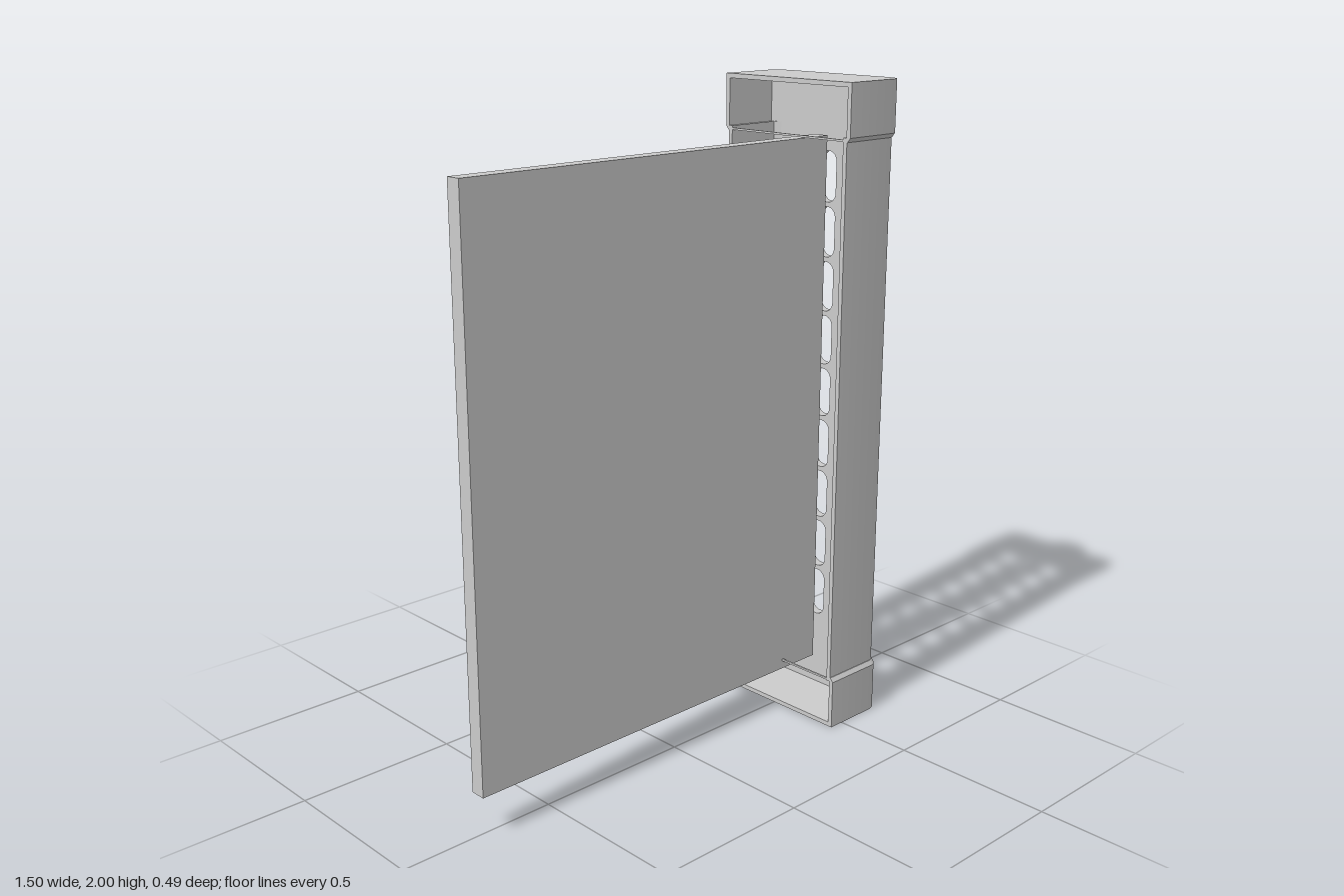
import * as THREE from 'three';
import { toCreasedNormals } from 'three/addons/utils/BufferGeometryUtils.js';

const material = new THREE.MeshStandardMaterial({ color: 0xcccccc });
const BACK = 0.45, FACE = 0.675, PLATE = 0.03, WALL = 0.014;

function add(parent, name, geometry) {
  const mesh = new THREE.Mesh(geometry, material);
  mesh.name = name;
  parent.add(mesh);
  return mesh;
}

function box(parent, name, x0, x1, y0, y1, z0, z1) {
  const mesh = add(parent, name, new THREE.BoxGeometry(x1 - x0, y1 - y0, z1 - z0));
  mesh.position.set((x0 + x1) / 2, (y0 + y1) / 2, (z0 + z1) / 2);
}

// Outer rounded corner of the housing, from the open back to the face
const corner = (zo) => [[BACK, zo], [0.64, zo], [0.655, zo - 0.005], [0.666, zo - 0.015], [FACE, 0.2]];

// Extrudes an (x, z) outline upwards from y0 to y1
function extrudeUp(points, y0, y1) {
  const shape = new THREE.Shape(points.map(([x, z]) => new THREE.Vector2(x, -z)));
  const g = new THREE.ExtrudeGeometry(shape, { depth: y1 - y0, bevelEnabled: false });
  g.rotateX(-Math.PI / 2).translate(0, y0, 0);
  return g;
}

// Mirrored side walls; 'taper' pulls the ends at height taperY in to the body
function sideWalls(parent, name, zo, y0, y1, taperY) {
  for (const s of [1, -1]) {
    const outline = [...corner(zo), [FACE - PLATE, 0.2], [0.635, zo - WALL], [BACK, zo - WALL]];
    const g = extrudeUp(outline.map(([x, z]) => [x, z * s]), y0, y1);
    if (taperY !== undefined) {
      const p = g.attributes.position;
      for (let i = 0; i < p.count; i++) {
        if (Math.abs(p.getY(i) - taperY) < 1e-4 && Math.abs(p.getZ(i)) > 0.201) {
          p.setZ(i, p.getZ(i) - Math.sign(p.getZ(i)) * 0.01);
        }
      }
    }
    add(parent, name, toCreasedNormals(g, 0.6));
  }
}

// Rounded slot outline
function slot(cx, cy, w, h) {
  const r = w / 2 - 0.005, path = new THREE.Path();
  const x = w / 2 - r, y = h / 2 - r;
  path.absarc(cx + x, cy + y, r, 0, Math.PI / 2);
  path.absarc(cx - x, cy + y, r, Math.PI / 2, Math.PI);
  path.absarc(cx - x, cy - y, r, Math.PI, Math.PI * 1.5);
  path.absarc(cx + x, cy - y, r, Math.PI * 1.5, Math.PI * 2);
  path.closePath();
  return path;
}

// Perforated face with three columns of nine slots
function facePlate(parent) {
  const shape = new THREE.Shape();
  shape.moveTo(-0.2, 0).lineTo(0.2, 0).lineTo(0.2, 2).lineTo(-0.2, 2).closePath();
  for (const z of [0.091, -0.005, -0.102]) {
    for (let row = 0; row < 9; row++) {
      shape.holes.push(slot(-z, 0.335 + row * 0.17, 0.07, 0.155));
    }
  }
  const g = new THREE.ExtrudeGeometry(shape, { depth: PLATE, bevelEnabled: false, curveSegments: 6 });
  g.rotateY(Math.PI / 2).translate(FACE - PLATE, 0, 0);
  add(parent, 'facePlate', toCreasedNormals(g, 0.6));
}

// Thumbscrew: rimmed cup with a cross-slotted disc inside
function thumbscrew(y) {
  const screw = new THREE.Group();
  screw.name = 'thumbscrew';
  const profile = [[0, 0], [0.086, 0], [0.09, 0.006], [0.09, 0.06], [0.084, 0.07],
    [0.068, 0.07], [0.064, 0.066], [0.064, 0.035], [0, 0.035]];
  const cup = new THREE.LatheGeometry(profile.map(([r, h]) => new THREE.Vector2(r, h)), 40);
  cup.rotateZ(-Math.PI / 2);
  add(screw, 'screwRim', toCreasedNormals(cup, 0.5));

  const disc = new THREE.Shape().absarc(0, 0, 0.064, 0, Math.PI * 2);
  const a = 0.01, b = 0.047;
  const cross = [[a, a], [a, b], [-a, b], [-a, a], [-b, a], [-b, -a],
    [-a, -a], [-a, -b], [a, -b], [a, -a], [b, -a], [b, a]];
  disc.holes.push(new THREE.Path(cross.map(([u, v]) => new THREE.Vector2(u, v))));
  const g = new THREE.ExtrudeGeometry(disc, { depth: 0.025, bevelEnabled: false, curveSegments: 20 });
  g.rotateY(Math.PI / 2).translate(0.035, 0, 0);
  add(screw, 'screwCrossSlot', toCreasedNormals(g, 0.5));
  screw.position.set(FACE, y, 0.008);
  return screw;
}

export function createModel() {
  const model = new THREE.Group();
  model.name = 'plugInModule';

  // Flat circuit board entering the open back of the housing
  box(model, 'board', -0.75, 0.6, 0.13, 1.825, -0.018, 0.03);

  // Hollow housing
  const housing = new THREE.Group();
  housing.name = 'housing';
  model.add(housing);
  facePlate(housing);
  sideWalls(housing, 'bodyWall', 0.235, 0.155, 1.845);

  // Wider end caps, closed at the outer end, with a small bevel to the body
  sideWalls(housing, 'bottomCapWall', 0.247, 0, 0.155);
  sideWalls(housing, 'bottomCapBevel', 0.247, 0.155, 0.168, 0.168);
  sideWalls(housing, 'topCapWall', 0.247, 1.845, 2);
  sideWalls(housing, 'topCapBevel', 0.247, 1.832, 1.845, 1.832);
  const half = corner(0.247);
  const outline = [...half, ...half.map(([x, z]) => [x, -z]).reverse()];
  for (const [name, y] of [['bottomCapEnd', 0], ['topCapEnd', 2 - WALL]]) {
    add(housing, name, toCreasedNormals(extrudeUp(outline, y, y + WALL), 0.6));
  }

  // Thin sills across the open back
  for (const y of [0.16, 1.836]) box(housing, 'backSill', BACK, BACK + 0.006, y - 0.003, y + 0.003, -0.235, 0.235);

  for (const y of [0.105, 1.903]) model.add(thumbscrew(y));
  return model;
}
